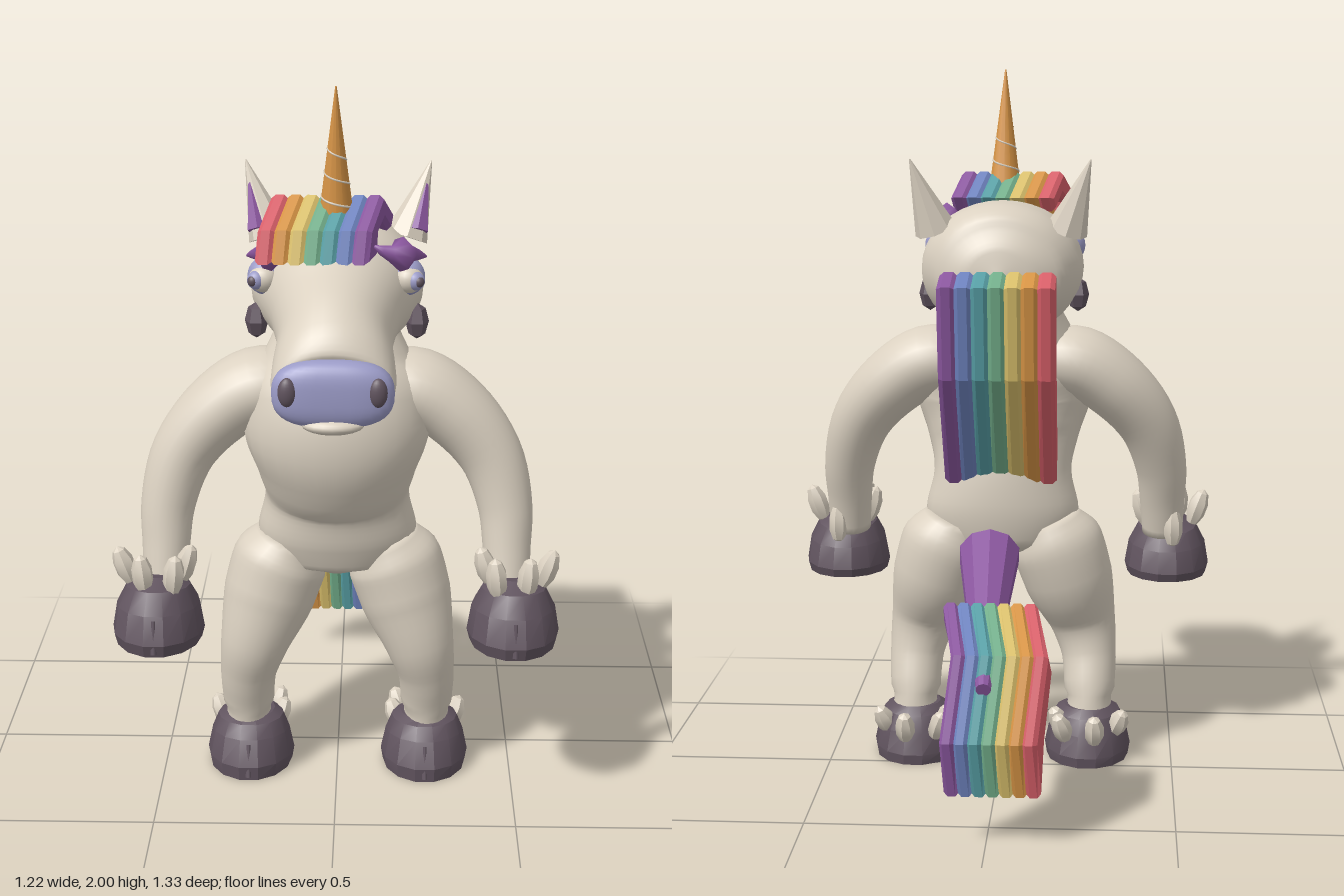
import * as THREE from 'three';
import { toCreasedNormals } from 'three/addons/utils/BufferGeometryUtils.js';

const mat = (name, color) => Object.assign(new THREE.MeshStandardMaterial({ color }), { name });
const V = (x, y, z) => new THREE.Vector3(x, y, z);

// Smooth loft through sections [x, y, z, ra, rb]; ra lies along ref
function loft(secs, { segs = 28, steps = 5, ref = V(1, 0, 0) } = {}) {
  const path = new THREE.CatmullRomCurve3(secs.map(s => V(s[0], s[1], s[2])));
  const radii = new THREE.CatmullRomCurve3(secs.map(s => V(s[3], s[4], 0)));
  const n = (secs.length - 1) * steps, pos = [], idx = [];
  for (let i = 0; i <= n; i++) {
    const c = path.getPoint(i / n), r = radii.getPoint(i / n), t = path.getTangent(i / n);
    const u = ref.clone().addScaledVector(t, -ref.dot(t)).normalize();
    const v = t.clone().cross(u);
    for (let j = 0; j < segs; j++) {
      const a = j / segs * Math.PI * 2;
      const p = c.clone().addScaledVector(u, r.x * Math.cos(a)).addScaledVector(v, r.y * Math.sin(a));
      pos.push(p.x, p.y, p.z);
      const k = i * segs + j, k1 = i * segs + (j + 1) % segs;
      if (i < n) idx.push(k, k1, k1 + segs, k, k1 + segs, k + segs);
    }
  }
  const first = pos.length / 3, last = n * segs;
  pos.push(...secs[0].slice(0, 3), ...secs[secs.length - 1].slice(0, 3));
  for (let j = 0; j < segs; j++) {
    const k = (j + 1) % segs;
    idx.push(first, k, j, first + 1, last + j, last + k);
  }
  const g = new THREE.BufferGeometry();
  g.setAttribute('position', new THREE.Float32BufferAttribute(pos, 3));
  g.setIndex(idx);
  g.computeVertexNormals();
  return g;
}

// Ellipsoid
const blob = (c, r, w = 20, h = 14) =>
  new THREE.SphereGeometry(1, w, h).scale(...r).translate(...c);

// Straight tapered bar between two points
function taper(a, b, r0, r1, segs) {
  const d = b.clone().sub(a);
  const g = new THREE.CylinderGeometry(r1, r0, d.length(), segs);
  g.applyQuaternion(new THREE.Quaternion().setFromUnitVectors(V(0, 1, 0), d.normalize()));
  return g.translate(...a.clone().add(b).multiplyScalar(0.5).toArray());
}

export function createModel() {
  const root = new THREE.Group();
  const cream = mat('cream', 0xdbd1c1), hoof = mat('hoof', 0x61545f), lilac = mat('lilac', 0x9c9cc8);
  const purple = mat('purple', 0x8c58a0), red = mat('red', 0xd9606a), orange = mat('orange', 0xd89546);
  const yellow = mat('yellow', 0xdac06c), green = mat('green', 0x74b08c);
  const teal = mat('teal', 0x58a0a6), blue = mat('blue', 0x6f84c0);
  const add = (name, geo, m) => {
    const mesh = new THREE.Mesh(geo, m);
    mesh.name = name;
    root.add(mesh);
    return mesh;
  };
  const flat = g => toCreasedNormals(g, 0.45);

  // Torso and neck
  add('torso', loft([
    [0, 0.61, 0.12, 0.05, 0.05], [0, 0.65, 0.12, 0.19, 0.12], [0, 0.74, 0.125, 0.222, 0.145],
    [0, 0.85, 0.14, 0.2, 0.155], [0, 0.95, 0.18, 0.22, 0.18], [0, 1.06, 0.205, 0.255, 0.19],
    [0, 1.16, 0.185, 0.255, 0.18], [0, 1.24, 0.16, 0.21, 0.15], [0, 1.32, 0.14, 0.17, 0.14],
    [0, 1.42, 0.13, 0.14, 0.13]]), cream);

  // Head
  add('head', loft([
    [0, 1.43, -0.092, 0.01, 0.01], [0, 1.43, -0.075, 0.1, 0.09], [0, 1.43, -0.03, 0.175, 0.155],
    [0, 1.44, 0.05, 0.225, 0.19], [0, 1.445, 0.15, 0.232, 0.188], [0, 1.43, 0.24, 0.205, 0.175],
    [0, 1.4, 0.33, 0.168, 0.158], [0, 1.36, 0.42, 0.15, 0.158], [0, 1.32, 0.5, 0.157, 0.143],
    [0, 1.285, 0.57, 0.155, 0.1], [0, 1.28, 0.6, 0.11, 0.07]], { segs: 36 }), cream);

  // Boxy rounded nose
  const nose = new THREE.SphereGeometry(1, 32, 20), np = nose.attributes.position;
  for (let i = 0; i < np.count; i++) {
    const q = v => Math.sign(v) * Math.abs(v) ** 0.75;
    np.setXYZ(i, q(np.getX(i)) * 0.155, q(np.getY(i)) * 0.088, q(np.getZ(i)) * 0.05);
  }
  nose.computeVertexNormals();
  add('nose', nose.translate(0, 1.287, 0.602), lilac);
  add('lowerLip', blob([0, 1.208, 0.61], [0.08, 0.024, 0.05]), cream);

  // Horn with a thin spiral
  const hornBase = V(0, 1.6, 0.237), hornTip = V(0, 2, 0.275);
  add('horn', taper(hornBase, hornTip, 0.054, 0.002, 14), orange);
  const spiral = [];
  for (let i = 0; i <= 48; i++) {
    const t = 0.2 + 0.4 * i / 48, a = i / 48 * Math.PI * 5, r = 0.054 * (1 - t);
    spiral.push(hornBase.clone().lerp(hornTip, t).add(V(r * Math.cos(a), 0, r * Math.sin(a))));
  }
  add('hornSpiral', new THREE.TubeGeometry(new THREE.CatmullRomCurve3(spiral), 96, 0.003, 5), cream);

  for (const s of [1, -1]) {
    // Eyes
    add('eyelid', blob([s * 0.188, 1.497, 0.25], [0.046, 0.05, 0.05]), lilac);
    add('eyeball', blob([s * 0.19, 1.495, 0.272], [0.04, 0.037, 0.037]), cream);
    add('iris', blob([s * 0.208, 1.495, 0.29], [0.025, 0.025, 0.022]), lilac);
    add('pupil', blob([s * 0.217, 1.495, 0.3], [0.014, 0.015, 0.014]), hoof);
    add('eyebrow', loft([[s * 0.1, 1.595, 0.325, 0.005, 0.006], [s * 0.145, 1.575, 0.32, 0.022, 0.022],
      [s * 0.195, 1.565, 0.28, 0.022, 0.022], [s * 0.235, 1.545, 0.225, 0.004, 0.004]],
    { segs: 8, steps: 2, ref: V(0, 1, 0) }), purple);

    // Cheek tuft and nostril
    add('cheekTuft', flat(blob([s * 0.215, 1.36, 0.195], [0.032, 0.05, 0.045], 6, 4)), hoof);
    add('nostril', blob([s * 0.113, 1.3, 0.637], [0.024, 0.038, 0.018]), hoof);

    // Ears with purple inner face
    const a = V(s * 0.185, 1.555, 0.05), b = V(s * 0.252, 1.755, 0);
    add('ear', flat(taper(a, b, 0.06, 0.002, 8)), cream);
    const off = V(s * 0.022, 0, 0.03);
    add('innerEar', flat(taper(a.clone().lerp(b, 0.12).add(off), b.clone().lerp(a, 0.18).add(V(s * 0.003, 0, 0.006)),
      0.032, 0.002, 6)), purple);

    // Arms
    add('arm', loft([
      [s * 0.1, 1.17, 0.165, 0.11, 0.09], [s * 0.22, 1.165, 0.165, 0.13, 0.105],
      [s * 0.33, 1.095, 0.175, 0.12, 0.1], [s * 0.42, 0.985, 0.2, 0.095, 0.088],
      [s * 0.462, 0.85, 0.235, 0.075, 0.075], [s * 0.468, 0.74, 0.265, 0.064, 0.066],
      [s * 0.47, 0.64, 0.29, 0.06, 0.06]], { ref: V(0, 0, 1), segs: 24 }), cream);

    // Legs
    add('leg', loft([
      [s * 0.13, 0.71, 0.12, 0.09, 0.11], [s * 0.163, 0.63, 0.122, 0.135, 0.135],
      [s * 0.195, 0.53, 0.135, 0.13, 0.13], [s * 0.235, 0.4, 0.165, 0.098, 0.096],
      [s * 0.255, 0.3, 0.15, 0.08, 0.08], [s * 0.258, 0.2, 0.12, 0.074, 0.08],
      [s * 0.258, 0.1, 0.105, 0.074, 0.08]], { segs: 24 }), cream);

    // Hooves: hands and feet
    const hand = [[0.5, 0.35, 0.118, 0.145], [0.53, 0.35, 0.126, 0.155], [0.6, 0.345, 0.114, 0.135],
      [0.65, 0.34, 0.088, 0.1], [0.675, 0.335, 0.04, 0.05]];
    const foot = [[0, 0.115, 0.12, 0.148], [0.035, 0.115, 0.126, 0.152], [0.1, 0.11, 0.112, 0.125],
      [0.14, 0.105, 0.095, 0.1], [0.157, 0.105, 0.07, 0.075]];
    const build = (x, rows) => flat(loft(rows.map(([y, z, rx, rz]) => [x, y, z, rx, rz]), { segs: 14, steps: 1 }));
    add('handHoof', build(s * 0.485, hand), hoof);
    add('footHoof', build(s * 0.253, foot), hoof);
    add('handCleft', taper(V(s * 0.485, 0.51, 0.497), V(s * 0.485, 0.6, 0.478), 0.009, 0.006, 6), hoof);
    add('footCleft', taper(V(s * 0.253, 0.01, 0.262), V(s * 0.253, 0.1, 0.235), 0.009, 0.006, 6), hoof);

    // Fetlock tufts
    for (const [x, z, lean] of [[0.41, 0.32, -0.3], [0.435, 0.405, -0.1], [0.52, 0.4, 0.1], [0.575, 0.335, 0.35], [0.5, 0.235, 0]]) {
      const g = blob([0, 0, 0], [0.03, 0.06, 0.032], 7, 5).rotateZ(-s * lean);
      add('handTuft', flat(g.translate(s * x, z < 0.3 ? 0.66 : 0.7, z)), cream);
    }
    for (const [x, z, lean] of [[0.18, -0.01, -0.3], [0.275, -0.035, 0], [0.342, 0.04, 0.4], [0.17, 0.06, -0.4]]) {
      const g = blob([0, 0, 0], [0.03, 0.05, 0.03], 7, 5).rotateX(-0.35).rotateZ(-s * lean);
      add('footTuft', flat(g.translate(s * x, 0.115, z)), cream);
    }
  }

  // Rainbow hair: one bevelled strip per colour, profile in (z, y), shifted sideways by z
  const rainbow = [red, orange, yellow, green, teal, blue, purple];
  function hair(name, profile, x0, x1, shift) {
    const w = (x1 - x0) / rainbow.length, bevel = w * 0.28;
    const shape = new THREE.Shape(profile.map(p => new THREE.Vector2(p[0], p[1])));
    rainbow.forEach((m, i) => {
      const depth = w - bevel * 1.6;
      const g = new THREE.ExtrudeGeometry(shape, {
        depth, bevelEnabled: true, bevelSegments: 1, bevelThickness: bevel, bevelSize: 0.009, bevelOffset: -0.009 });
      g.translate(0, 0, -depth / 2).rotateY(-Math.PI / 2).translate(x0 + w * (i + 0.5), 0, 0);
      const p = g.attributes.position;
      for (let k = 0; k < p.count; k++) p.setX(k, p.getX(k) + shift(p.getZ(k)));
      g.computeVertexNormals();
      add(name, g, m);
    });
  }
  hair('forelock', [[0.366, 1.555], [0.34, 1.64], [0.233, 1.71], [0.138, 1.64], [0.165, 1.6],
    [0.225, 1.645], [0.275, 1.62], [0.285, 1.56]], -0.17, 0.12, z => -0.3 * (z - 0.24));
  hair('mane', [[-0.135, 1.455], [-0.26, 1.425], [-0.21, 1.165], [0.01, 0.835], [0.035, 0.95], [-0.085, 1.21]],
    -0.16, 0.155, () => 0);
  hair('tailHair', [[-0.405, 0.595], [-0.59, 0.505], [-0.67, 0.29], [-0.632, 0.135], [-0.605, 0.28],
    [-0.53, 0.44], [-0.375, 0.535]], -0.125, 0.125, z => -0.045 * Math.max(0, 1 - Math.abs(z + 0.55) / 0.14));

  // Tail root
  add('tailRoot', flat(taper(V(0.025, 0.648, -0.08), V(0.005, 0.425, -0.63), 0.088, 0.02, 10)), purple);
  return root;
}
